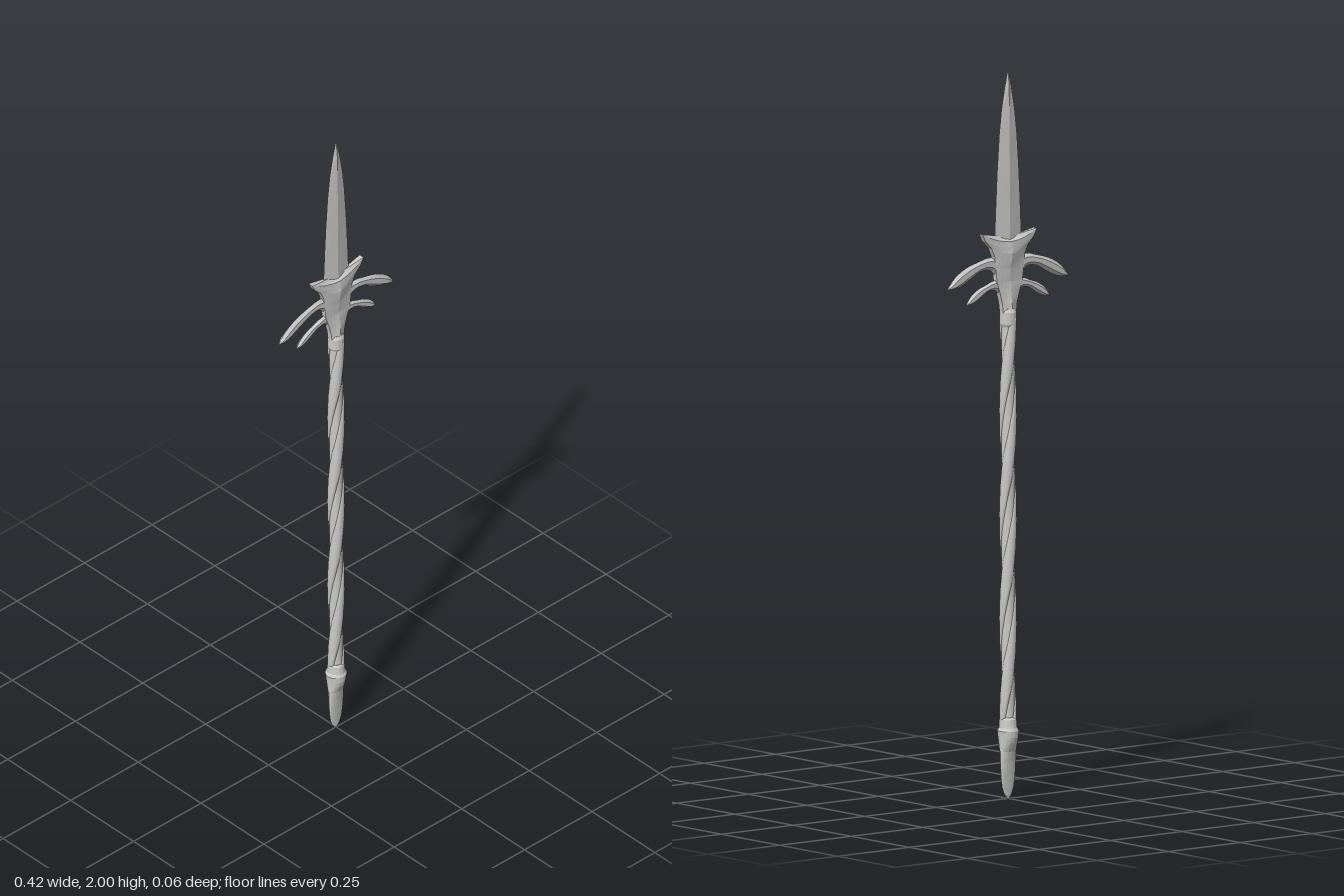
import * as THREE from 'three';

const flat = new THREE.MeshStandardMaterial({ color: 0xcccccc, flatShading: true });
const smooth = new THREE.MeshStandardMaterial({ color: 0xcccccc });

// Skins a list of equal-length rings (counter-clockwise about the travel direction) and caps both ends
function loft(name, rings, material = flat) {
  const n = rings[0].length, pos = rings.flat(2), idx = [];
  for (let r = 0; r < rings.length - 1; r++) {
    for (let i = 0; i < n; i++) {
      const j = (i + 1) % n, a = r * n + i, b = r * n + j;
      idx.push(a, b, b + n, a, b + n, a + n);
    }
  }
  [0, rings.length - 1].forEach((r, end) => {
    const c = pos.length / 3;
    for (let k = 0; k < 3; k++) pos.push(rings[r].reduce((s, p) => s + p[k], 0) / n);
    for (let i = 0; i < n; i++) {
      const a = r * n + i, b = r * n + (i + 1) % n;
      if (end) idx.push(c, a, b); else idx.push(c, b, a);
    }
  });
  const geo = new THREE.BufferGeometry();
  geo.setAttribute('position', new THREE.Float32BufferAttribute(pos, 3));
  geo.setIndex(idx);
  geo.computeVertexNormals();
  const mesh = new THREE.Mesh(geo, material);
  mesh.name = name;
  return mesh;
}

// Horizontal elliptical ring; four sides give a diamond
const ring = (y, w, d, sides) => Array.from({ length: sides }, (_, i) => {
  const a = i / sides * Math.PI * 2;
  return [Math.sin(a) * w, y, Math.cos(a) * d];
});

// Twisted ribbon hugging the shaft
function ribbon(phase) {
  const rings = [], steps = 120, y0 = 0.2, y1 = 1.32, half = 0.95;
  for (let s = 0; s <= steps; s++) {
    const y = y0 + (y1 - y0) * s / steps;
    const turn = phase + Math.PI / 2 + (y - 1.12) / 0.57 * Math.PI * 2;
    const section = [];
    for (let k = -3; k <= 3; k++) {
      section.push([turn + k / 3 * half, 0.0205 + 0.0035 * (1 - (k / 3) ** 2)]);
    }
    for (let k = 3; k >= -3; k--) section.push([turn + k / 3 * half, 0.014]);
    rings.push(section.map(([a, r]) => [Math.sin(a) * r, y, Math.cos(a) * r]));
  }
  return loft('gripRibbon', rings, smooth);
}

// Curved side prong: [x, y, half height] along its centre line, with a bevelled hexagonal section
function prong(name, points, thick) {
  const curve = new THREE.CatmullRomCurve3(points.map(([x, y, h]) => new THREE.Vector3(x, y, h)));
  const rings = [], steps = 14;
  for (let s = 0; s <= steps; s++) {
    const p = curve.getPoint(s / steps), t = curve.getTangent(s / steps);
    const len = Math.hypot(t.x, t.y), nx = -t.y / len, ny = t.x / len;
    const h = Math.max(p.z, 0.0005), d = Math.min(thick, h * 1.1);
    rings.push([[h, 0], [h * 0.45, d], [-h * 0.45, d], [-h, 0], [-h * 0.45, -d], [h * 0.45, -d]]
      .map(([n, z]) => [p.x + nx * n, p.y + ny * n, z]));
  }
  return loft(name, rings);
}

export function createModel() {
  const model = new THREE.Group();

  // Diamond-section blade
  const blade = [
    [1.48, 0.046, 0.009], [1.55, 0.046, 0.009], [1.62, 0.043, 0.008], [1.72, 0.038, 0.008],
    [1.82, 0.031, 0.007], [1.89, 0.023, 0.006], [1.95, 0.012, 0.005], [2, 0.0005, 0.0005],
  ];
  model.add(loft('blade', blade.map(([y, w, d]) => ring(y, w, d, 4))));

  // Guard body with flared horns and a concave top edge: [y, half width, half depth]
  const guard = [
    [1.32, 0.021, 0.021], [1.36, 0.026, 0.018], [1.39, 0.034, 0.014], [1.42, 0.044, 0.011],
    [1.46, 0.049, 0.014], [1.49, 0.052, 0.018], [1.515, 0.063, 0.02], [1.537, 0.085, 0.018],
    [1.557, 0.095, 0.016],
  ];
  const across = [-1, -0.75, -0.5, -0.25, 0, 0.25, 0.5, 0.75, 1];
  model.add(loft('guard', guard.map(([y, w, d]) => {
    const dip = 0.027 * THREE.MathUtils.clamp((y - 1.45) / 0.1, 0, 1);
    const side = (t, sign) => [
      t * w, y - dip * (1 - t * t), sign * THREE.MathUtils.lerp(d, Math.min(d, 0.008), Math.abs(t)),
    ];
    return [...across.map(t => side(t, 1)), ...across.map(t => side(-t, -1))];
  })));

  // Side prongs, mirrored by a half turn
  for (const [label, turn] of [['left', 0], ['right', Math.PI]]) {
    const side = new THREE.Group();
    side.name = label + 'Prongs';
    side.rotation.y = turn;
    side.add(prong('upperProng', [
      [0.02, 1.45, 0.024], [0.06, 1.472, 0.018], [0.1, 1.468, 0.014],
      [0.14, 1.452, 0.018], [0.18, 1.431, 0.015], [0.212, 1.414, 0.0005],
    ], 0.008));
    side.add(prong('lowerProng', [
      [0.015, 1.4, 0.02], [0.045, 1.412, 0.014], [0.075, 1.406, 0.01],
      [0.1, 1.394, 0.013], [0.125, 1.379, 0.011], [0.146, 1.366, 0.0005],
    ], 0.007));
    model.add(side);
  }

  // Collar beneath the guard
  const collar = [[1.295, 0.02], [1.303, 0.0235], [1.335, 0.0235], [1.345, 0.019]];
  model.add(loft('collar', collar.map(([y, r]) => ring(y, r, r, 16))));

  // Shaft with two wound ribbons
  const shaft = new THREE.Mesh(new THREE.CylinderGeometry(0.0185, 0.0185, 1.14, 16), smooth);
  shaft.name = 'shaft';
  shaft.position.y = 0.76;
  model.add(shaft, ribbon(0), ribbon(Math.PI));

  // Butt cap: round collar flattening into a rounded spade
  const butt = [
    [0, 0.003, 0.002], [0.012, 0.013, 0.003], [0.03, 0.02, 0.004], [0.06, 0.0245, 0.006],
    [0.1, 0.026, 0.01], [0.13, 0.0265, 0.015], [0.155, 0.027, 0.025], [0.17, 0.028, 0.029],
    [0.187, 0.03, 0.03], [0.195, 0.025, 0.026], [0.218, 0.0235, 0.0235], [0.224, 0.019, 0.019],
  ];
  model.add(loft('buttCap', butt.map(([y, w, d]) => ring(y, w, d, 16))));

  return model;
}
